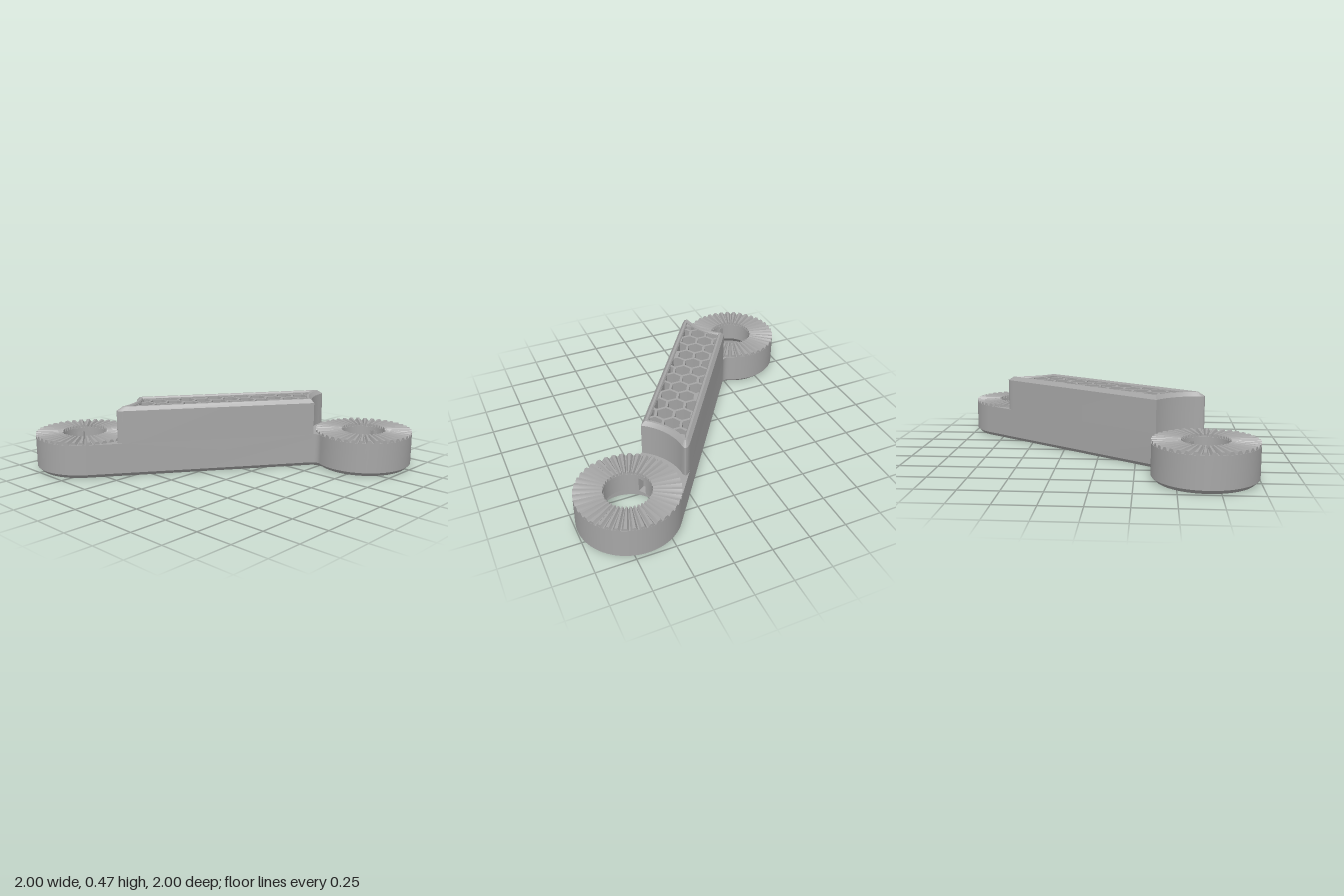
import * as THREE from 'three';
import { toCreasedNormals } from 'three/addons/utils/BufferGeometryUtils.js';

const PHI = 0.955;                       // heading of the arm around y
const R = 0.325, HOLE = 0.15, BORE = 0.215;
const CU = 0.941, CN = 0.161;            // ring centre in the arm's own frame
const HW = R - CN;                       // half width of the arm
const DECK = 0.225, TOP = 0.465;
const V2 = (x, y) => new THREE.Vector2(x, y);

// Points on an arc, both ends included
function arc(cx, cy, r, a0, a1, n) {
  return Array.from({ length: n + 1 }, (_, i) => {
    const a = a0 + (a1 - a0) * i / n;
    return V2(cx + r * Math.cos(a), cy + r * Math.sin(a));
  });
}
// Half an outline plus the same half turned by 180 degrees
const twofold = half => [...half, ...half.map(p => V2(-p.x, -p.y))];

// Whole footprint: two rings tangent to the arm, with filleted inner corners
function footprint(d) {
  const f = 0.05 + d, r = R - d, hw = HW - d;
  const dy = -hw - f + CN, dx = -Math.sqrt((r + f) ** 2 - dy * dy);
  const a = Math.atan2(-dy, -dx);
  return twofold([
    ...arc(CU + dx, -CN + dy, f, Math.PI / 2, a, 6),
    ...arc(CU, -CN, r, Math.PI + a, Math.PI * 2.5, 56).slice(1),
  ]);
}

// Raised block: straight sides, ends hollowed around the rings
function block(d) {
  const c = 0.36 + d, hw = HW - d;
  const start = Math.PI - Math.asin((-hw + CN) / c);
  const tip = V2(CU - Math.sqrt(c * c - (hw + CN) ** 2), hw);
  const a = arc(CU, -CN, c, start, Math.PI - 0.845, 14);
  const curve = new THREE.QuadraticBezierCurve(a[14], tip, V2(0.67 - d, hw));
  return twofold([...a, ...curve.getPoints(6).slice(1)]);
}

// Surface through closed rows of equal length
function loft(rows) {
  const pos = [], n = rows[0].length;
  const put = (...ps) => ps.forEach(p => pos.push(p.x, p.y, p.z));
  for (let j = 0; j + 1 < rows.length; j++) {
    for (let i = 0; i < n; i++) {
      const k = (i + 1) % n, a = rows[j], b = rows[j + 1];
      put(a[i], a[k], b[k], a[i], b[k], b[i]);
    }
  }
  const g = new THREE.BufferGeometry();
  g.setAttribute('position', new THREE.Float32BufferAttribute(pos, 3));
  return toCreasedNormals(g, 0.5);
}
const row = (pts, y) => pts.map(p => new THREE.Vector3(p.x, y, -p.y));

function cap(outline, holes, y, down) {
  const s = new THREE.Shape(outline);
  s.holes = holes.map(h => new THREE.Path(h));
  const g = new THREE.ShapeGeometry(s).rotateX(-Math.PI / 2).translate(0, y, 0);
  if (down) {
    g.index.array.reverse();
    g.computeVertexNormals();
  }
  return g;
}

// Keep the part of a convex polygon where n.p <= c
function clip(poly, nx, ny, c) {
  const out = [];
  poly.forEach((p, i) => {
    const q = poly[(i + 1) % poly.length];
    const a = nx * p.x + ny * p.y - c, b = nx * q.x + ny * q.y - c;
    if (a <= 0) out.push(p);
    if (a * b < 0) out.push(p.clone().lerp(q, a / (a - b)));
  });
  return out;
}

// Honeycomb openings trimmed to the window
function honeycomb() {
  const cells = [], dx = 0.0975, dz = 0.1125, hw = HW - 0.041;
  const local = (x, z) => V2(x * Math.cos(PHI) - z * Math.sin(PHI), -x * Math.sin(PHI) - z * Math.cos(PHI));
  for (let k = -6; k <= 6; k++) {
    for (let j = -8; j <= 8; j++) {
      const x = k * dx, z = (j + (k % 2 ? 0 : 0.5)) * dz, c = local(x, z);
      if (Math.abs(c.x) > 0.75 || Math.abs(c.y) > 0.25) continue;
      let poly = arc(0, 0, 0.0557, 0, Math.PI * 5 / 3, 5).map(p => local(x + p.x, z + p.y));
      poly = clip(clip(poly, 0, 1, hw), 0, -1, hw);
      poly = clip(clip(poly, 1, 0, 0.625), -1, 0, 0.625);
      for (const s of [1, -1]) {
        const o = V2(s * CU, -s * CN), e = c.clone().sub(o).normalize();
        poly = clip(poly, -e.x, -e.y, -0.402 - e.dot(o));
      }
      if (poly.length > 2 && Math.abs(THREE.ShapeUtils.area(poly)) > 0.0006) cells.push(poly);
    }
  }
  return cells;
}

// Radial serration on a ring's top face
function serration() {
  const teeth = 40, steps = [[0, 0], [0.25, 1], [0.6, 1], [0.85, 0]];
  const line = (r, lift) => {
    const pts = [];
    for (let t = 0; t < teeth; t++) {
      for (const [f, h] of steps) {
        const a = (t + f) / teeth * Math.PI * 2;
        pts.push(new THREE.Vector3(r * Math.cos(a), DECK + 0.001 + lift * h * 0.018, -r * Math.sin(a)));
      }
    }
    return pts;
  };
  return loft([line(R, 0), line(R, 1), line(HOLE, 1), line(HOLE, 0)]);
}

export function createModel() {
  const model = new THREE.Group();
  model.name = 'serratedLinkArm';
  const grey = new THREE.MeshStandardMaterial({ color: 0xa6a6a6 });
  grey.name = 'grey';
  grey.side = THREE.DoubleSide;
  const add = (parent, name, geometry) => {
    const m = new THREE.Mesh(geometry, grey);
    m.name = name;
    parent.add(m);
    return m;
  };
  const circles = r => [1, -1].map(s => arc(s * CU, -s * CN, r, 0, Math.PI * 2 * 47 / 48, 47));
  const win = block(0.04);

  // Base with chamfered lower edge
  add(model, 'baseWall', loft([row(footprint(0.025), 0), row(footprint(0), 0.025), row(footprint(0), DECK)]));
  add(model, 'baseUnderside', cap(footprint(0.025), [...circles(BORE), win], 0, true));
  add(model, 'baseDeck', cap(footprint(0), [...circles(HOLE), win], DECK, false));

  // Raised hollow block with chamfered rim
  const levels = [[DECK, 0], [0.44, 0], [TOP, 0.02], [TOP, 0.034], [0.455, 0.04], [0, 0.04]];
  add(model, 'raisedBlock', loft(levels.map(([y, d]) => row(block(d), y))));

  // Honeycomb core running through the block
  const core = new THREE.Shape(block(0.03));
  core.holes = honeycomb().map(c => new THREE.Path(c));
  add(model, 'honeycombCore', new THREE.ExtrudeGeometry(core, { depth: 0.445, bevelEnabled: false })
    .rotateX(-Math.PI / 2).translate(0, 0.006, 0));

  // Ring ends: serration, stepped bore and three pockets each
  for (const turn of [0, Math.PI]) {
    const end = new THREE.Group();
    end.name = turn ? 'backRing' : 'frontRing';
    end.rotation.y = turn;
    const ring = new THREE.Group();
    ring.name = 'ring';
    ring.position.set(-CU, 0, -CN);
    end.add(ring);
    model.add(end);
    add(ring, 'serration', serration());
    const bore = [V2(HOLE, DECK), V2(HOLE, 0.2)];
    const funnel = [V2(HOLE, 0.1), V2(BORE, 0.04), V2(BORE, 0)];
    for (const p of [bore, funnel]) {
      add(ring, 'bore', toCreasedNormals(new THREE.LatheGeometry(p, 48), 0.5));
    }
    const gap = 0.336;
    for (let i = 0; i < 3; i++) {
      const a = 1.745 + i * Math.PI * 2 / 3;
      add(ring, 'boreWall', new THREE.CylinderGeometry(HOLE, HOLE, 0.1, 14, 1, true,
        a + Math.PI / 2 + gap / 2, Math.PI * 2 / 3 - gap)).position.y = 0.15;
      const box = new THREE.BoxGeometry(0.05, 0.1, 0.05);
      box.setIndex([...box.index.array].filter((_, k) => k < 6 || k > 11));
      box.translate(0.173, 0.15, 0).rotateY(a);
      add(ring, 'pocket', box);
    }
  }

  model.rotation.y = PHI;
  const root = new THREE.Group();
  root.name = 'linkArm';
  root.add(model);
  return root;
}
